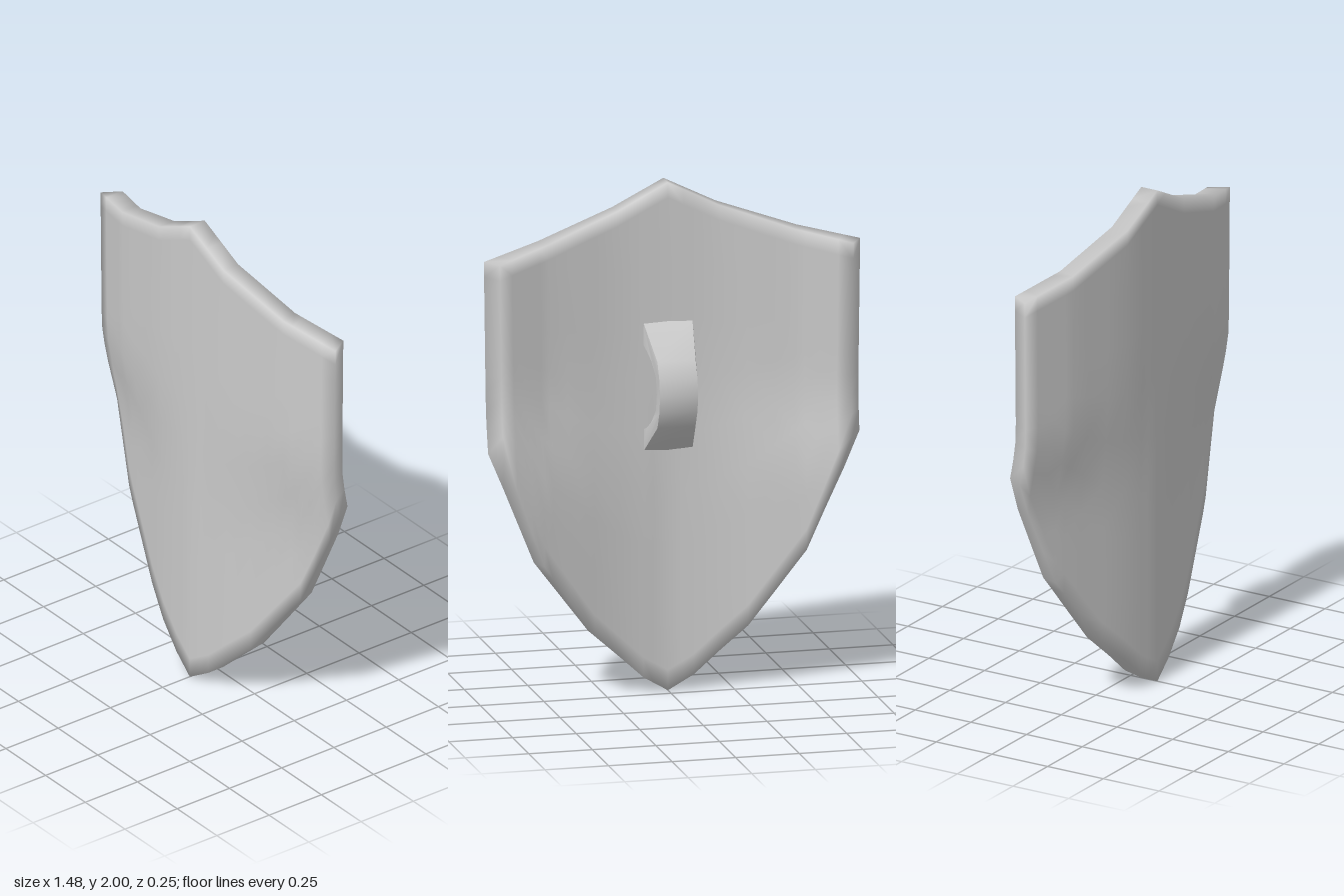
import * as THREE from 'three';
import { toCreasedNormals } from 'three/addons/utils/BufferGeometryUtils.js';

// Piecewise-linear lookup through [x, value] pairs
function lookup(points, x) {
  for (let k = 1; k < points.length; k++) {
    const [x0, v0] = points[k - 1], [x1, v1] = points[k];
    if (x <= x1) return v0 + (v1 - v0) * (x - x0) / (x1 - x0);
  }
  return points[points.length - 1][1];
}

// Half outlines and the bend of the front face, all by distance from the centre line
const TOP = [[0, 2], [0.2, 1.9], [0.5, 1.8], [0.73, 1.75]];
const BOTTOM = [[0, 0], [0.1, 0.06], [0.31, 0.25], [0.54, 0.55], [0.73, 1]];
const BEND = [[0, 0.12], [0.2, 0.113], [0.5, 0.058], [0.73, -0.015]];

// Curved plate: front and back grids sharing vertices at the rim
function shieldGeometry() {
  const half = [0.06, 0.1, 0.2, 0.31, 0.42, 0.5, 0.54, 0.6, 0.67, 0.73];
  const columns = [...half.map(x => -x).reverse(), 0, ...half];
  const nx = columns.length, inner = 8, ny = inner + 3;
  const positions = [], indices = [];

  for (const back of [false, true]) {
    for (const x of columns) {
      const a = Math.abs(x), top = lookup(TOP, a), bottom = lookup(BOTTOM, a);
      for (let j = 0; j < ny; j++) {
        // narrow border rows at both ends, even rows between
        let y = bottom;
        if (j === ny - 1) y = top;
        else if (j > 0) y = THREE.MathUtils.lerp(bottom + 0.08, top - 0.06, (j - 1) / inner);
        // the lower half leans back a little more towards the edges
        const low = 1 - THREE.MathUtils.smoothstep(y, 0.85, 1.2);
        let z = lookup(BEND, a) - 0.045 * low * Math.min(1, a / 0.5);
        let px = x * (1 + 0.018 * Math.max(0, y - 1));
        if (back) {
          z -= 0.072;
          px -= 0.045 * Math.sign(x) * (a / 0.73) ** 2;
        }
        positions.push(px, y, z);
      }
    }
  }

  const front = (i, j) => i * ny + j;
  const offset = nx * ny;
  const quad = (a, b, c, d) => indices.push(a, b, c, a, c, d);
  for (let i = 0; i < nx - 1; i++) {
    for (let j = 0; j < ny - 1; j++) {
      const a = front(i, j), b = front(i + 1, j), c = front(i + 1, j + 1), d = front(i, j + 1);
      quad(a, b, c, d);
      quad(a + offset, d + offset, c + offset, b + offset);
    }
  }

  // rim strip around the boundary
  const loop = [];
  for (let i = 0; i < nx - 1; i++) loop.push(front(i, 0));
  for (let j = 0; j < ny - 1; j++) loop.push(front(nx - 1, j));
  for (let i = nx - 1; i > 0; i--) loop.push(front(i, ny - 1));
  for (let j = ny - 1; j > 0; j--) loop.push(front(0, j));
  loop.forEach((a, k) => {
    const b = loop[(k + 1) % loop.length];
    quad(a, a + offset, b + offset, b);
  });

  const geometry = new THREE.BufferGeometry();
  geometry.setAttribute('position', new THREE.Float32BufferAttribute(positions, 3));
  geometry.setIndex(indices);
  geometry.computeVertexNormals();
  return geometry;
}

// Arched strap with flared feet, drawn from the side as (z, height from grip centre)
function handleGeometry() {
  const outer = [[0.055, 0.26], [-0.085, 0.13], [-0.115, 0.065], [-0.125, 0]];
  const inside = [[-0.075, 0], [-0.065, 0.065], [-0.025, 0.12], [0.01, 0.15], [0.055, 0.17]];
  const mirror = list => list.slice().reverse().map(([z, y]) => [z, -y]);
  const outline = [...outer, ...mirror(outer).slice(1), ...mirror(inside), ...inside.slice(1)];
  const shape = new THREE.Shape(outline.map(([z, y]) => new THREE.Vector2(z, y)));
  const geometry = new THREE.ExtrudeGeometry(shape, { depth: 0.15, bevelEnabled: false });
  geometry.translate(0, 0, -0.075).rotateY(-Math.PI / 2);
  const p = geometry.attributes.position;
  for (let k = 0; k < p.count; k++) {
    const flare = 1 + 0.3 * THREE.MathUtils.smoothstep(p.getZ(k), -0.08, 0.05);
    p.setX(k, p.getX(k) * flare);
  }
  return toCreasedNormals(geometry, 0.7);
}

export function createModel() {
  const group = new THREE.Group();
  group.name = 'shield';
  const material = new THREE.MeshStandardMaterial({ color: 0xcccccc });

  const plate = new THREE.Mesh(shieldGeometry(), material);
  plate.name = 'plate';

  const handle = new THREE.Mesh(handleGeometry(), material);
  handle.name = 'handle';
  handle.position.y = 1.2;

  group.add(plate, handle);
  return group;
}
